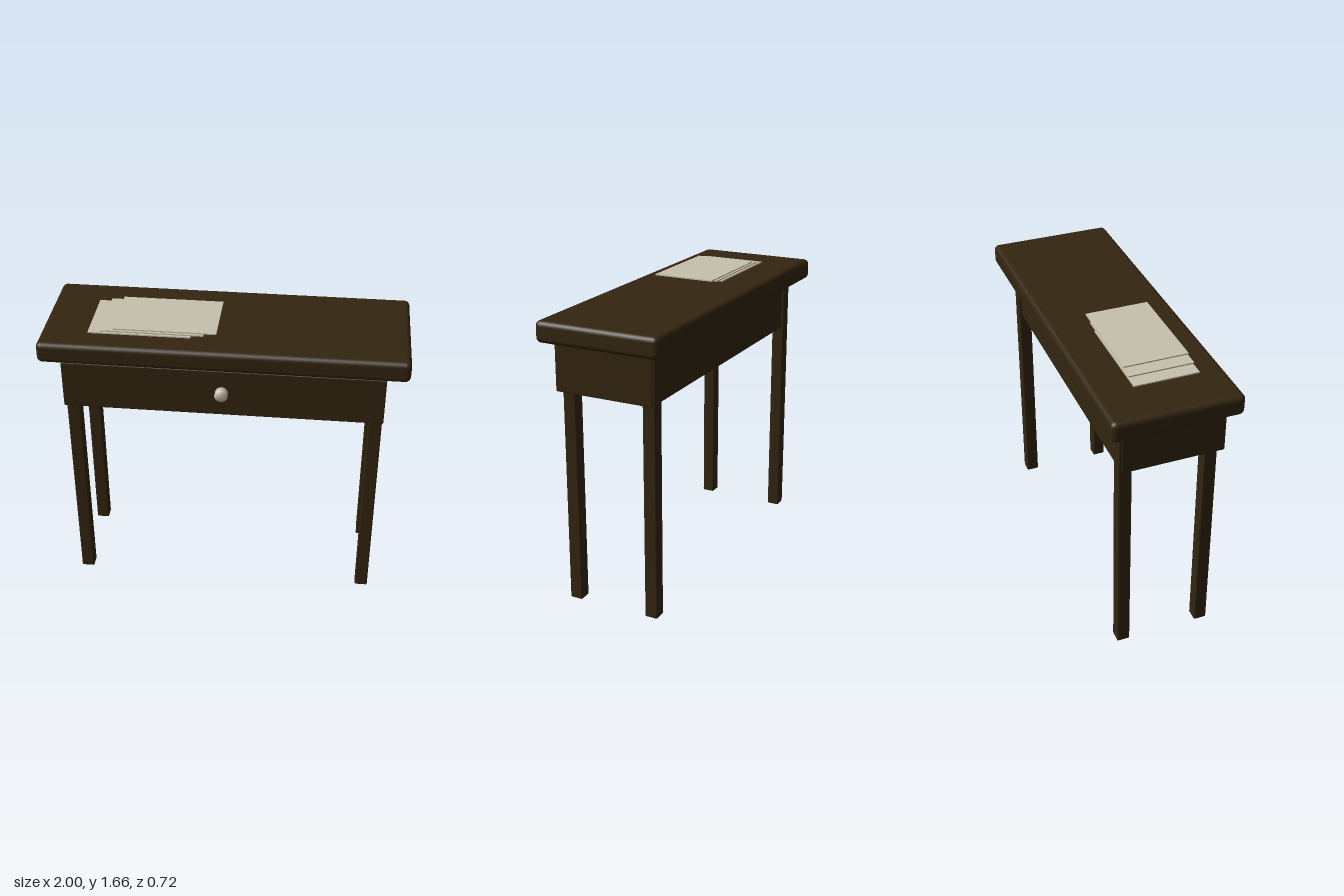
import * as THREE from 'three';
import { RoundedBoxGeometry } from 'three/addons/geometries/RoundedBoxGeometry.js';
import { mergeVertices } from 'three/addons/utils/BufferGeometryUtils.js';

function material(name, color) {
  const m = new THREE.MeshStandardMaterial({ color });
  m.name = name;
  return m;
}

export function createModel() {
  const group = new THREE.Group();
  const wood = material('dark wood', 0x33250f);
  const paper = material('paper', 0xc6c1ad);
  const metal = material('knob metal', 0xc8c0b0);

  const add = (name, geometry, mat, x, y, z) => {
    const mesh = new THREE.Mesh(geometry, mat);
    mesh.name = name;
    mesh.position.set(x, y, z);
    group.add(mesh);
    return mesh;
  };

  // Box from its min and max corners, with softened edges
  const block = (name, [x0, y0, z0], [x1, y1, z1], radius) =>
    add(name, new RoundedBoxGeometry(x1 - x0, y1 - y0, z1 - z0, 4, radius), wood,
      (x0 + x1) / 2, (y0 + y1) / 2, (z0 + z1) / 2);

  block('tableTop', [-1, 1.503, -0.36], [1, 1.622, 0.355], 0.03);
  block('drawerBox', [-0.88, 1.213, -0.26], [0.88, 1.49, 0.315], 0.006);

  // Four legs running up to the top
  for (const sx of [-1, 1]) {
    for (const sz of [-1, 1]) {
      const x = sx * 0.838, z = sz * 0.238;
      const side = (sz > 0 ? 'front' : 'back') + (sx > 0 ? 'Left' : 'Right');
      block(side + 'Leg', [x - 0.037, 0, z - 0.037], [x + 0.037, 1.51, z + 0.037], 0.008);
    }
  }

  // Drawer knob: short disc with shared normals so it shades like a dome
  const disc = new THREE.CylinderGeometry(0.036, 0.036, 0.038, 16);
  disc.deleteAttribute('normal');
  disc.deleteAttribute('uv');
  const knob = mergeVertices(disc);
  knob.computeVertexNormals();
  knob.rotateX(Math.PI / 2);
  add('drawerKnob', knob, metal, 0, 1.363, 0.344);

  // Three staggered sheets of paper
  for (let i = 0; i < 3; i++) {
    add('paperSheet' + (i + 1), new THREE.BoxGeometry(0.56, 0.007, 0.36), paper,
      -0.46 + i * 0.07, 1.63 + i * 0.0145, 0.036);
  }

  return group;
}
